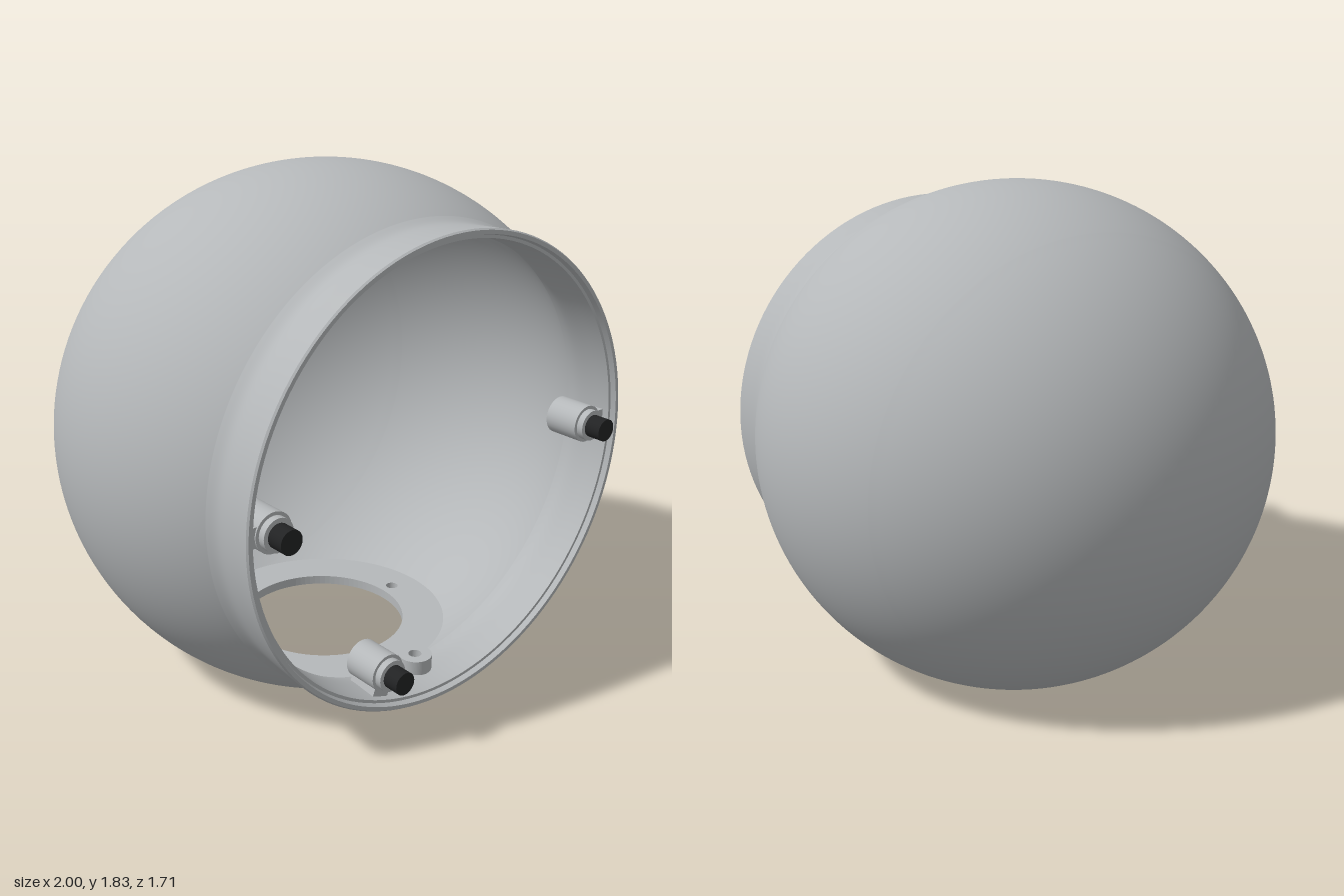
import * as THREE from 'three';

const CY = 0.85, CZ = 0.12, WIDE = 1.025; // shell centre height, centre depth, sideways stretch

// Profile of [radius, z]: ellipsoid from the back pole, then a flared neck
function shellProfile(r, cutR, neck) {
  const phiCut = Math.asin(cutR / r), pts = [];
  const at = (p) => new THREE.Vector2(r * Math.sin(p), CZ - r * Math.cos(p));
  for (let i = 0; i < 24; i++) pts.push(at((phiCut * i) / 24));
  // stations crowd towards both ends of the flat underside
  for (let i = 0; i < 48; i++) {
    const t = (1 - Math.cos((Math.PI * i) / 48)) / 2;
    pts.push(at(phiCut + (Math.PI - 2 * phiCut) * t));
  }
  const curve = new THREE.SplineCurve([at(Math.PI - phiCut), ...neck.map((p) => new THREE.Vector2(...p))]);
  return pts.concat(curve.getPoints(16));
}

// Sweeps a profile around z, leaving it open where it would pass below the flat cut
function cutShell(profile, cutR, outward) {
  const N = 128, pos = [], nor = [], idx = [];
  const sign = outward ? 1 : -1;
  profile.forEach((p, i) => {
    const a = profile[Math.max(i - 1, 0)], b = profile[Math.min(i + 1, profile.length - 1)];
    const start = p.x > cutR ? Math.acos(cutR / p.x) : 0;
    for (let j = 0; j <= N; j++) {
      const t = start + ((2 * Math.PI - 2 * start) * j) / N, s = Math.sin(t), c = Math.cos(t);
      pos.push(WIDE * p.x * s, CY - p.x * c, p.y);
      const n = new THREE.Vector3(((b.y - a.y) * s) / WIDE, -(b.y - a.y) * c, a.x - b.x);
      n.normalize().multiplyScalar(sign);
      nor.push(n.x, n.y, n.z);
      if (i < profile.length - 1 && j < N) {
        const k = i * (N + 1) + j, m = k + N + 1;
        if (outward) idx.push(k, k + 1, m, k + 1, m + 1, m);
        else idx.push(k, m, k + 1, k + 1, m, m + 1);
      }
    }
  });
  const g = new THREE.BufferGeometry();
  g.setAttribute('position', new THREE.Float32BufferAttribute(pos, 3));
  g.setAttribute('normal', new THREE.Float32BufferAttribute(nor, 3));
  g.setIndex(idx);
  return g;
}

// Horizontal plate with round holes [x, z, radius], from y0 up to y1
function plate(rx, rz, holes, y0, y1) {
  const shape = new THREE.Shape().absellipse(0, 0, rx, rz, 0, Math.PI * 2);
  for (const [x, z, r] of holes) shape.holes.push(new THREE.Path().absarc(x, z, r, 0, Math.PI * 2, true));
  const g = new THREE.ExtrudeGeometry(shape, { depth: y1 - y0, bevelEnabled: false, curveSegments: 48 });
  return g.rotateX(Math.PI / 2).translate(0, y1, 0);
}

export function createModel() {
  const model = new THREE.Group();
  model.name = 'roundHousing';
  const grey = new THREE.MeshStandardMaterial({ color: 0xb5b8ba });
  grey.name = 'grey';
  const black = new THREE.MeshStandardMaterial({ color: 0x222324 });
  black.name = 'black';

  const add = (name, geometry, material = grey, parent = model) => {
    const mesh = new THREE.Mesh(geometry, material);
    mesh.name = name;
    parent.add(mesh);
    return mesh;
  };
  const rod = (r, z0, z1) =>
    new THREE.CylinderGeometry(r, r, z1 - z0, 32).rotateX(Math.PI / 2).translate(0, 0, (z0 + z1) / 2);

  // Hollow shell with a flat underside
  const outerNeck = [[0.836, 0.645], [0.84, 0.72], [0.845, 0.798]];
  const innerNeck = [[0.802, 0.64], [0.806, 0.72], [0.81, 0.785]];
  add('outerShell', cutShell(shellProfile(0.975, CY, outerNeck), CY, true));
  add('innerShell', cutShell(shellProfile(0.94, 0.815, innerNeck), 0.815, false));

  // Stepped rim joining both walls; each band is separate to keep its edges sharp
  const rim = [[0.845, 0.798], [0.84, 0.805], [0.826, 0.805], [0.821, 0.785], [0.81, 0.785]];
  for (let i = 0; i < rim.length - 1; i++) {
    const pts = [rim[i], rim[i + 1]].map((p) => new THREE.Vector2(...p));
    const g = new THREE.LatheGeometry(pts, 128).rotateX(Math.PI / 2).scale(WIDE, 1, 1);
    add('rimBand', g.translate(0, CY, 0));
  }

  // Floor with a large opening and two screw holes
  const floorR = Math.sqrt(0.975 ** 2 - CY ** 2);
  const holes = [[0, 0, 0.315], [0.37, 0, 0.024], [-0.37, 0, 0.024]];
  add('floor', plate(floorR * WIDE, floorR, holes, 0, 0.035)).position.z = CZ;

  // Small ring boss at the front of the floor
  add('floorBoss', plate(0.062, 0.062, [[0, 0, 0.024]], 0.025, 0.1)).position.z = 0.645;

  // Three mounting posts with dark screw heads, webbed to the wall
  for (const [x, y] of [[-0.735, 0.855], [0.735, 0.855], [-0.245, 0.17]]) {
    const post = new THREE.Group();
    post.name = 'mountingPost';
    post.position.set(x, y, 0);
    post.rotation.z = Math.atan2(y - CY, x);
    add('postBody', rod(0.07, 0.63, 0.765), grey, post);
    add('postCollar', rod(0.058, 0.765, 0.79), grey, post);
    add('screwHead', rod(0.042, 0.78, 0.853), black, post);
    add('postWeb', new THREE.BoxGeometry(0.09, 0.07, 0.12).translate(0.05, 0, 0.7), grey, post);
    model.add(post);
  }
  return model;
}
